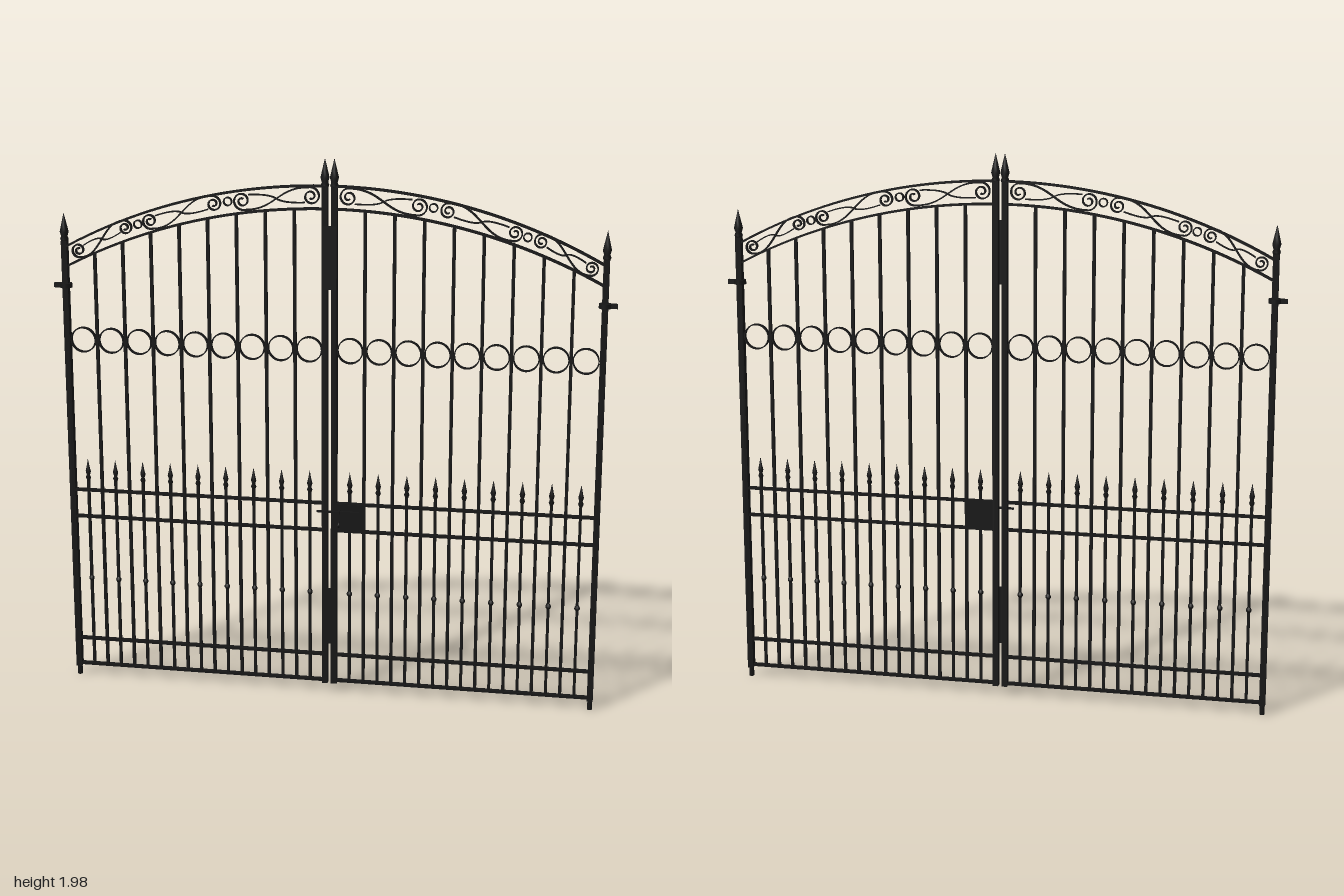
import * as THREE from 'three';

const iron = new THREE.MeshStandardMaterial({ color: 0x161616 });
iron.name = 'black iron';
const Z = -0.009; // plane of the gate

export function createModel() {
  const gate = new THREE.Group();
  gate.name = 'doubleGate';

  const add = (parent, name, geo, x = 0, y = 0, z = Z) => {
    const m = new THREE.Mesh(geo, iron);
    m.name = name;
    m.position.set(x, y, z);
    parent.add(m);
    return m;
  };
  const box = (parent, name, x0, x1, y0, y1, depth, z = Z) =>
    add(parent, name, new THREE.BoxGeometry(Math.abs(x1 - x0), y1 - y0, depth), (x0 + x1) / 2, (y0 + y1) / 2, z);
  const lathe = (parent, name, profile, sides, x, y) =>
    add(parent, name, new THREE.LatheGeometry(profile.map(p => new THREE.Vector2(...p)), sides), x, y);

  // Flat bar on edge, following a 2D path
  const ribbon = (parent, name, pts, thick, depth) => {
    const side = k => pts.map((p, i) => {
      const a = pts[Math.max(i - 1, 0)], b = pts[Math.min(i + 1, pts.length - 1)];
      const d = b.clone().sub(a).normalize();
      return new THREE.Vector2(p.x - d.y * thick * k, p.y + d.x * thick * k);
    });
    const shape = new THREE.Shape([...side(0.5), ...side(-0.5).reverse()]);
    return add(parent, name, new THREE.ExtrudeGeometry(shape, { depth, bevelEnabled: false }), 0, 0, Z - depth / 2);
  };
  // Flat hoop
  const hoop = (parent, name, x, y, r, thick, depth) => {
    const shape = new THREE.Shape().absarc(0, 0, r, 0, Math.PI * 2);
    shape.holes.push(new THREE.Path().absarc(0, 0, r - thick, 0, Math.PI * 2, true));
    const geo = new THREE.ExtrudeGeometry(shape, { depth, bevelEnabled: false, curveSegments: 14 });
    return add(parent, name, geo, x, y, Z - depth / 2);
  };

  // Arched top: circle through the crown and the hinge post
  const arc = (crown, end) => {
    const h = crown - end, R = (0.955 ** 2 + h * h) / (2 * h);
    return x => crown - R + Math.sqrt(R * R - x * x);
  };
  const outerArch = arc(1.883, 1.637), innerArch = arc(1.803, 1.565);

  // S-scroll between two spiral centres, a (outer) and b (inner), drawn at -x and flipped by s
  const scrollPath = (a, b, r, s) => {
    const spiral = [];
    for (let i = 0; i <= 30; i++) {
      const t = i / 30, ang = -Math.PI / 2 - (1 - t) * Math.PI * 3.2, q = r * (0.22 + 0.78 * t);
      spiral.push(new THREE.Vector2(Math.cos(ang) * q, Math.sin(ang) * q));
    }
    const A = new THREE.Vector2(...a), B = new THREE.Vector2(...b), k = (b[0] - a[0]) * 0.5;
    const mid = new THREE.CubicBezierCurve(
      new THREE.Vector2(A.x, A.y - r), new THREE.Vector2(A.x + k, A.y - r),
      new THREE.Vector2(B.x - k, B.y + r), new THREE.Vector2(B.x, B.y + r)).getPoints(14).slice(1, -1);
    const pts = [...spiral.map(p => p.clone().add(A)), ...mid,
      ...spiral.slice().reverse().map(p => B.clone().sub(p))];
    return pts.map(p => new THREE.Vector2(-s * p.x, p.y));
  };

  const postTip = [[0, 0], [0.012, 0], [0.015, 0.008], [0.011, 0.018], [0.016, 0.034], [0.01, 0.06], [0, 0.102]];
  const spear = [[0.005, 0], [0.01, 0.012], [0.006, 0.022], [0.01, 0.036], [0.006, 0.052], [0, 0.084]];
  const collar = [[0.004, -0.013], [0.01, -0.003], [0.01, 0.003], [0.004, 0.013]];

  for (const s of [-1, 1]) {
    const leaf = new THREE.Group();
    leaf.name = s > 0 ? 'leftLeaf' : 'rightLeaf';
    gate.add(leaf);

    // Posts with finials
    box(leaf, 'hingePost', s * 0.946, s * 0.967, 0.035, 1.66, 0.025);
    add(leaf, 'footPin', new THREE.CylinderGeometry(0.009, 0.009, 0.036, 10), s * 0.9565, 0.018);
    lathe(leaf, 'hingePostFinial', postTip, 10, s * 0.9565, 1.658);
    box(leaf, 'meetingPost', s * 0.006, s * 0.027, 0.035, 1.885, 0.025);
    lathe(leaf, 'meetingPostFinial', postTip, 10, s * 0.0165, 1.878);

    // Upper hinge: collar around the post with an arm
    add(leaf, 'hingeCollar', new THREE.CylinderGeometry(0.022, 0.022, 0.016, 16), s * 0.9565, 1.498);
    box(leaf, 'hingeArm', s * 0.96, s, 1.49, 1.506, 0.014);

    // Horizontal rails
    for (const y of [0.045, 0.147, 0.63, 0.732])
      box(leaf, 'rail', s * 0.02, s * 0.95, y - 0.004, y + 0.004, 0.02);

    // Arched rails
    for (const [name, f] of [['outerArch', outerArch], ['innerArch', innerArch]]) {
      const pts = [];
      for (let i = 0; i <= 24; i++) {
        const x = 0.02 + 0.93 * i / 24;
        pts.push(new THREE.Vector2(s * x, f(x)));
      }
      ribbon(leaf, name, pts, 0.007, 0.02);
    }

    // Spear pickets, long bars and the row of hoops
    for (let i = 0; i < 9; i++) {
      const x = 0.073 + i * 0.1032;
      box(leaf, 'picket', s * x - 0.005, s * x + 0.005, 0.045, 0.785, 0.01);
      lathe(leaf, 'spearTip', spear, 8, s * x, 0.768);
      lathe(leaf, 'picketCollar', collar, 8, s * x, 0.388);
      hoop(leaf, 'hoop', s * x, 1.3, 0.0465, 0.004, 0.016);
      if (i < 8) {
        const bx = x + 0.0516;
        box(leaf, 'longBar', s * bx - 0.0055, s * bx + 0.0055, 0.045, innerArch(bx), 0.011);
      }
    }

    // Scrollwork in the arch
    const scrolls = [
      [[-0.905, 1.627], [-0.733, 1.713], 0.026],
      [[-0.642, 1.74], [-0.412, 1.808], 0.028],
      [[-0.31, 1.822], [-0.066, 1.845], 0.032],
    ];
    for (const [a, b, r] of scrolls) {
      ribbon(leaf, 'scroll', scrollPath(a, b, r, s), 0.005, 0.014);
      // slim leaf curves either side of the scroll
      for (const [c, e, k] of [[a, b, 1], [b, a, -1]]) {
        const curve = new THREE.QuadraticBezierCurve(
          new THREE.Vector2(-s * (c[0] + k * r * 0.7), c[1] + k * r * 0.7),
          new THREE.Vector2(-s * (c[0] * 0.6 + e[0] * 0.4), c[1] * 0.6 + e[1] * 0.4 + k * 0.018),
          new THREE.Vector2(-s * (c[0] + e[0]) / 2, (c[1] + e[1]) / 2));
        ribbon(leaf, 'scrollLeaf', curve.getPoints(10), 0.004, 0.012);
      }
    }
    hoop(leaf, 'scrollRing', s * 0.686, 1.727, 0.016, 0.004, 0.014);
    hoop(leaf, 'scrollRing', s * 0.361, 1.818, 0.016, 0.004, 0.014);
  }

  // Cover plates where the leaves meet
  box(gate, 'upperCoverPlate', -0.024, 0.024, 1.52, 1.745, 0.004, 0.004);
  box(gate, 'lowerCoverPlate', -0.024, 0.024, 0.195, 0.41, 0.004, 0.004);

  // Lock case, latch bar and handle
  box(gate, 'lockCase', 0.018, 0.125, 0.63, 0.732, 0.024);
  box(gate, 'latchBar', -0.045, 0.11, 0.702, 0.709, 0.007, 0.008);
  const loop = new THREE.CatmullRomCurve3([
    [0, 0.668, 0], [0, 0.669, 0.024], [0, 0.661, 0.031], [0, 0.653, 0.024], [0, 0.652, 0],
  ].map(p => new THREE.Vector3(...p)));
  add(gate, 'handleLoop', new THREE.TubeGeometry(loop, 20, 0.0025, 8), 0.038, 0, 0);
  box(gate, 'latchKnob', 0.035, 0.041, 0.7, 0.712, 0.014, 0.012);

  return gate;
}
